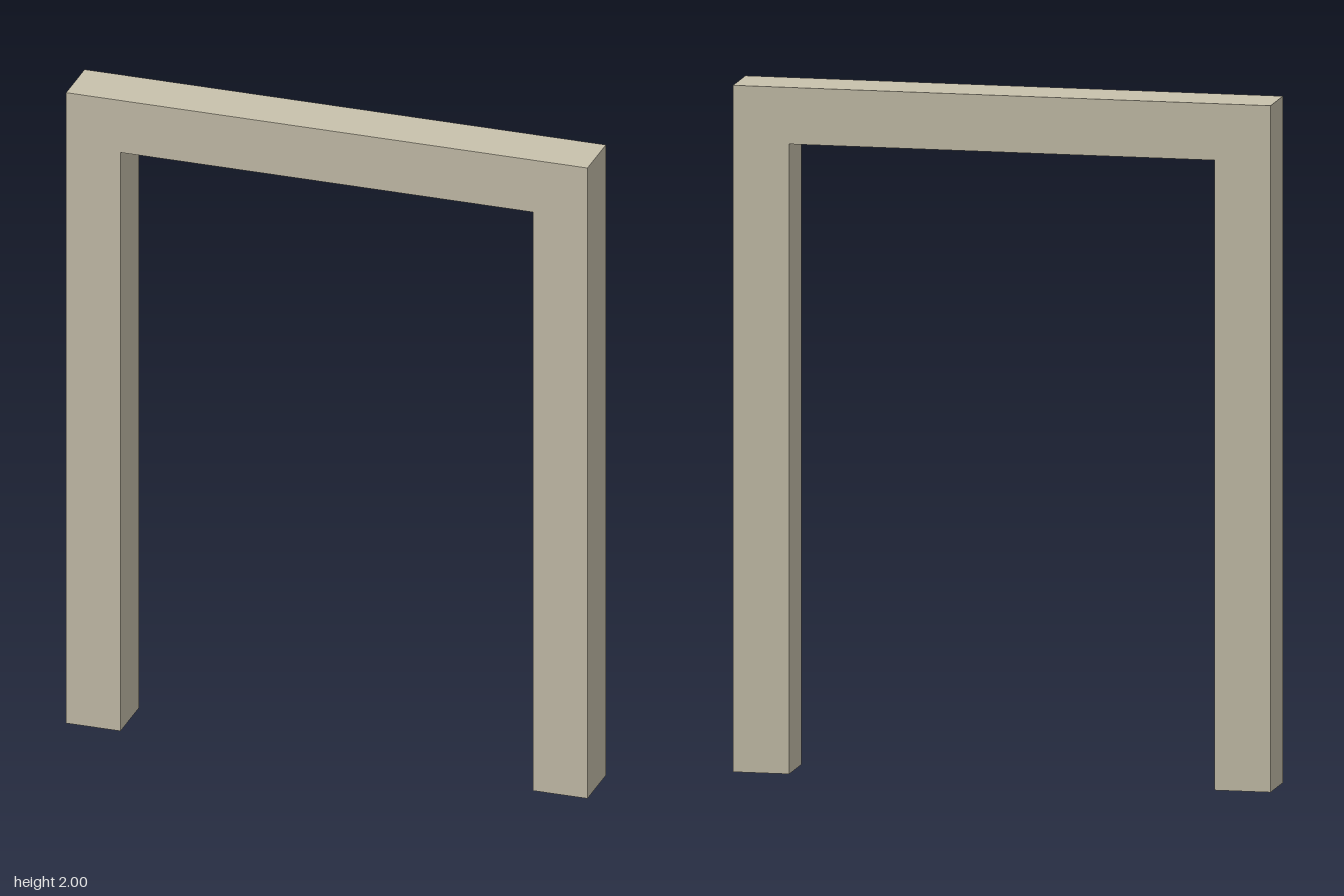
import * as THREE from 'three';

const HALF_WIDTH = 0.79;
const HEIGHT = 2;
const BEAM = 0.165; // square section of posts and lintel

export function createModel() {
  const group = new THREE.Group();
  group.name = 'doorFrame';
  const inner = HALF_WIDTH - BEAM;

  // Two posts and a lintel as one continuous outline
  const outline = new THREE.Shape([
    [-HALF_WIDTH, 0], [-inner, 0], [-inner, HEIGHT - BEAM], [inner, HEIGHT - BEAM],
    [inner, 0], [HALF_WIDTH, 0], [HALF_WIDTH, HEIGHT], [-HALF_WIDTH, HEIGHT],
  ].map(([x, y]) => new THREE.Vector2(x, y)));

  const geometry = new THREE.ExtrudeGeometry(outline, { depth: BEAM, bevelEnabled: false });
  geometry.translate(0, 0, -BEAM / 2);

  const frame = new THREE.Mesh(geometry, new THREE.MeshStandardMaterial({ color: 0xc9c2ad }));
  frame.name = 'postsAndLintel';
  group.add(frame);
  return group;
}
